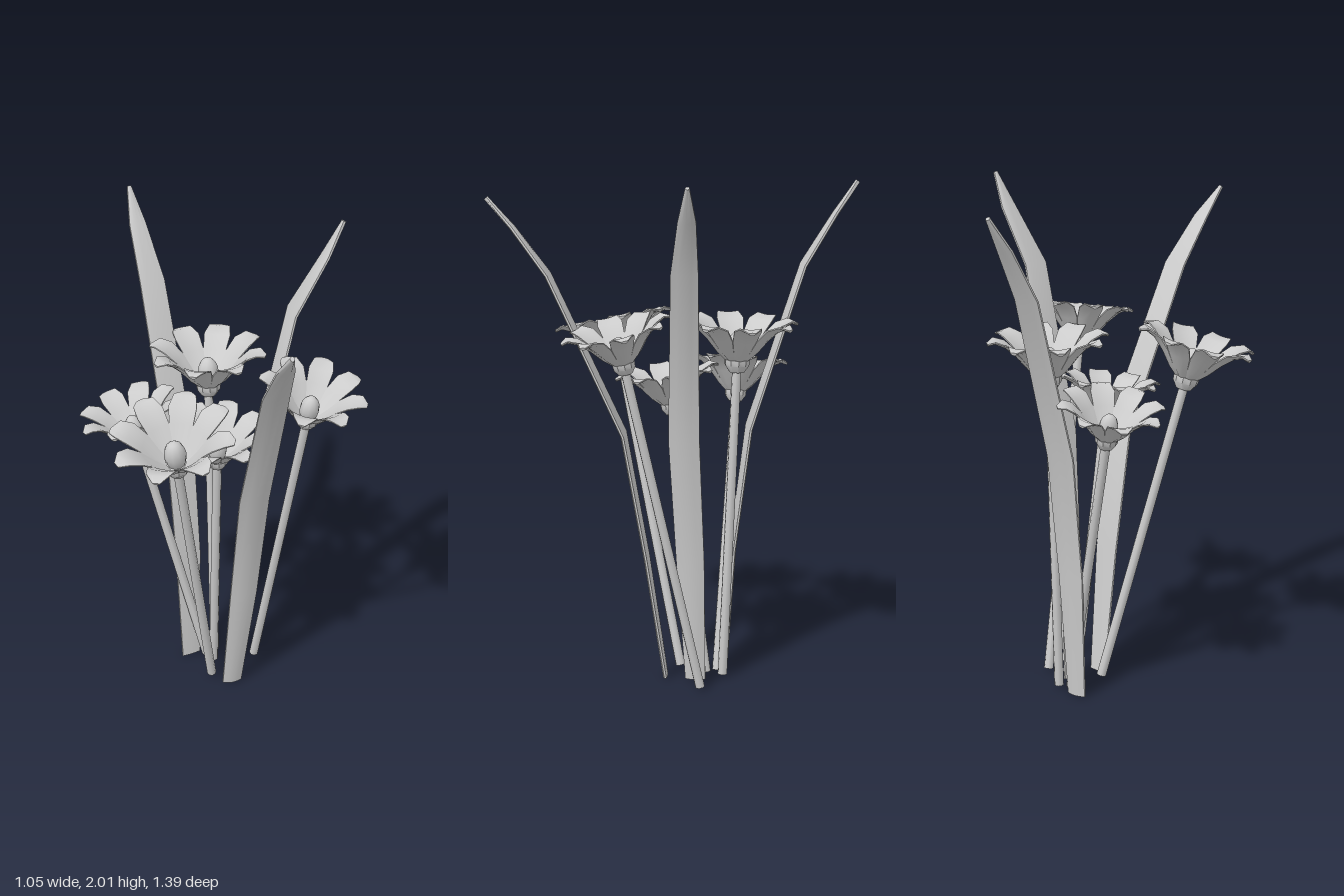
import * as THREE from 'three';
import { toCreasedNormals } from 'three/addons/utils/BufferGeometryUtils.js';

const V = (x, y, z) => new THREE.Vector3(x, y, z);
const UP = V(0, 1, 0);
const material = new THREE.MeshStandardMaterial({ color: 0xcccccc });

function mesh(name, geometry) {
  const m = new THREE.Mesh(geometry, material);
  m.name = name;
  return m;
}

// Closed blade swept along a path: flat, cupped sections of varying half width
function blade(path, halfWidths, side, thickness, cup) {
  const across = [1, 0.5, 0, -0.5, -1];
  const ring = [...across.map(v => [v, 1]), ...across.slice().reverse().map(v => [v, -1])];
  const n = ring.length, pos = [], idx = [];
  path.forEach((p, i) => {
    const tangent = path[Math.min(i + 1, path.length - 1)].clone().sub(path[Math.max(i - 1, 0)]);
    const normal = tangent.cross(side).normalize();
    for (const [v, s] of ring) {
      const w = halfWidths[i];
      const lift = cup * w * v * v + s * thickness * (1 - 0.6 * v * v) / 2;
      const q = p.clone().addScaledVector(side, v * w).addScaledVector(normal, lift);
      pos.push(q.x, q.y, q.z);
    }
  });
  for (let i = 0; i < path.length - 1; i++) {
    for (let j = 0; j < n; j++) {
      const a = i * n + j, b = i * n + (j + 1) % n;
      idx.push(a, b, b + n, a, b + n, a + n);
    }
  }
  const end = (path.length - 1) * n;
  for (let j = 0; j < 4; j++) {
    const a = j, b = j + 1, c = n - 2 - j, d = n - 1 - j;
    idx.push(a, c, b, a, d, c, end + a, end + b, end + c, end + a, end + c, end + d);
  }
  const g = new THREE.BufferGeometry();
  g.setAttribute('position', new THREE.Float32BufferAttribute(pos, 3));
  g.setIndex(idx);
  return toCreasedNormals(g, 0.7);
}

// Tapered stem between two points
function stem(from, to) {
  const dir = to.clone().sub(from);
  const m = mesh('stem', new THREE.CylinderGeometry(0.018, 0.019, dir.length(), 8));
  m.position.copy(from).add(to).multiplyScalar(0.5);
  m.quaternion.setFromUnitVectors(UP, dir.normalize());
  return m;
}

// Flower head: calyx, eight cupped petals that curl over, and a domed centre
const petalPath = [[0.03, 0.035], [0.075, 0.075], [0.12, 0.13], [0.165, 0.172], [0.205, 0.19], [0.232, 0.183]]
  .map(([r, h]) => V(r, h, 0));
const petalGeometry = blade(petalPath, [0.014, 0.03, 0.046, 0.053, 0.042, 0.014], V(0, 0, -1), 0.012, 0.2);
const calyxGeometry = toCreasedNormals(new THREE.LatheGeometry(
  [[0, -0.005], [0.03, -0.005], [0.048, 0.022], [0.05, 0.045], [0, 0.05]].map(([x, y]) => new THREE.Vector2(x, y)), 10), 0.6);
const centreGeometry = new THREE.SphereGeometry(1, 10, 8).scale(0.042, 0.065, 0.042).translate(0, 0.09, 0);

function flowerHead(scale) {
  const head = new THREE.Group();
  head.name = 'flowerHead';
  head.add(mesh('calyx', calyxGeometry), mesh('flowerCentre', centreGeometry));
  for (let k = 0; k < 8; k++) {
    const petal = mesh('petal', petalGeometry);
    petal.rotation.y = (k + 0.5) * Math.PI / 4;
    head.add(petal);
  }
  head.scale.setScalar(scale);
  return head;
}

export function createModel() {
  const model = new THREE.Group();
  model.name = 'flowerBunch';

  // Flowers: stem foot, stem top, head size
  const flowers = [
    [V(-0.04, 0.01, -0.19), V(-0.30, 1.07, -0.21), 0.88],
    [V(0.00, 0.01, -0.22), V(-0.015, 1.25, -0.265), 1.0],
    [V(-0.015, 0.01, -0.15), V(-0.02, 1.07, -0.01), 0.88],
    [V(-0.04, 0.02, -0.04), V(-0.205, 1.21, 0.235), 1.02],
    [V(0.16, 0.01, -0.16), V(0.305, 1.29, 0.1), 0.9],
  ];
  for (const [foot, top, size] of flowers) {
    const flower = new THREE.Group();
    flower.name = 'flower';
    const head = flowerHead(size);
    head.position.copy(top);
    head.quaternion.setFromUnitVectors(UP, top.clone().sub(foot).normalize());
    flower.add(stem(foot, top), head);
    model.add(flower);
  }

  // Long leaves that bend outwards
  const leaves = [
    ['frontLeaf', [V(0.04, 0, 0.005), V(0.075, 0.5, 0.075), V(0.1, 1, 0.16), V(0.122, 1.62, 0.45), V(0.128, 1.8, 0.585), V(0.13, 1.91, 0.685)]],
    ['backLeaf', [V(-0.105, 0, -0.21), V(-0.11, 0.5, -0.24), V(-0.13, 1, -0.3), V(-0.205, 1.64, -0.495), V(-0.245, 1.84, -0.61), V(-0.265, 1.965, -0.69)]],
    ['leftLeaf', [V(0.055, 0, -0.12), V(0.09, 0.5, -0.105), V(0.145, 1, -0.09), V(0.29, 1.66, -0.12), V(0.42, 1.87, -0.155), V(0.485, 2, -0.17)]],
  ];
  for (const [name, path] of leaves) {
    const lean = path[5].clone().sub(path[0]).setY(0).normalize();
    const side = lean.cross(UP).normalize().negate();
    model.add(mesh(name, blade(path, [0.04, 0.055, 0.06, 0.052, 0.034, 0.008], side, 0.02, 0.08)));
  }
  return model;
}
